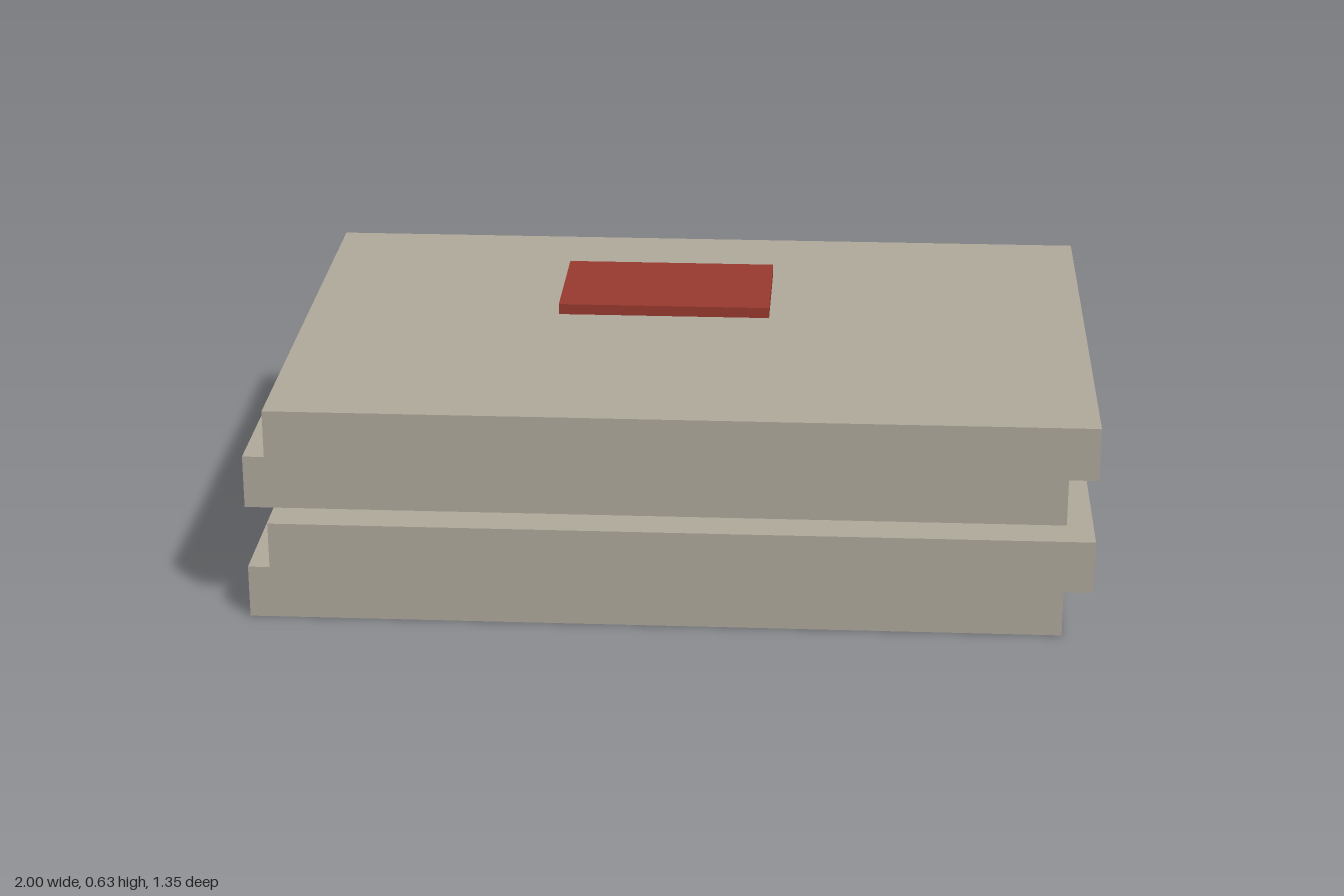
import * as THREE from 'three';

export function createModel() {
  const group = new THREE.Group();
  const stone = new THREE.MeshStandardMaterial({ color: 0xb2ab9d });
  stone.name = 'warm grey';
  const red = new THREE.MeshStandardMaterial({ color: 0x9a3b30 });
  red.name = 'brick red';

  const addBox = (name, size, position, material) => {
    const mesh = new THREE.Mesh(new THREE.BoxGeometry(...size), material);
    mesh.name = name;
    mesh.position.set(...position);
    group.add(mesh);
  };

  // Four slabs, shifted diagonally in alternate directions with small gaps
  const shift = 0.0323, thickness = 0.129, pitch = 0.142;
  for (let i = 0; i < 4; i++) {
    const s = i % 2 ? shift : -shift;
    addBox(`slab${i + 1}`, [1.935, thickness, 1.29], [s, thickness / 2 + i * pitch, s], stone);
  }

  // Thin label plate floating above the stack
  addBox('labelPlate', [0.516, 0.026, 0.322], [-0.036, 0.62, -0.032], red);

  return group;
}
